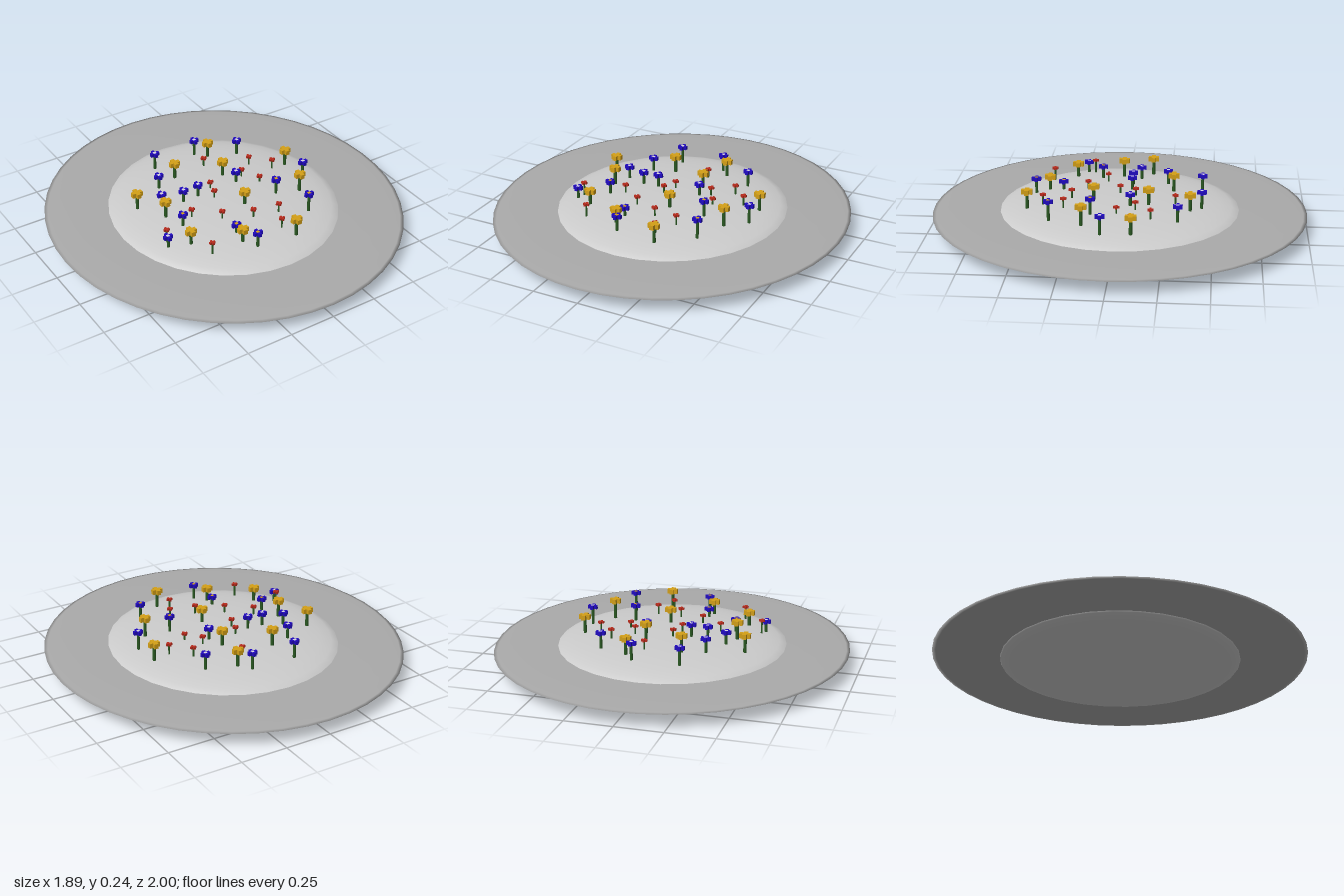
import * as THREE from 'three';

const mat = (name, color) => Object.assign(new THREE.MeshStandardMaterial({ color }), { name });

// Height of the mound's upper surface at a point
const MID = 0.073;
const moundY = (x, z) => MID + 0.073 * Math.sqrt(Math.max(0, 1 - (x / 0.62) ** 2 - (z / 0.65) ** 2));

// Flower spots as [x, z, height of head centre]
const goldSpots = [
  [0.14, -0.38, 0.215], [-0.13, -0.285, 0.225], [-0.435, -0.16, 0.213], [0.1, -0.16, 0.225],
  [-0.355, 0, 0.225], [0.465, -0.09, 0.21], [0.05, 0.135, 0.217], [0.38, 0.17, 0.228],
  [-0.36, 0.26, 0.198], [-0.13, 0.39, 0.2], [0.14, 0.48, 0.212],
];
const blueSpots = [
  [-0.165, -0.44, 0.215], [0.09, -0.44, 0.215], [0.295, -0.32, 0.21], [-0.25, -0.25, 0.207],
  [-0.32, -0.1, 0.2], [-0.21, -0.06, 0.207], [-0.12, -0.06, 0.21], [0.125, -0.065, 0.205],
  [0.475, 0.065, 0.216], [-0.465, 0.21, 0.174],
];
const blueGoldSpots = [
  [-0.32, 0.115, 0.2], [0.25, 0.135, 0.222], [-0.12, 0.315, 0.18], [0.315, 0.345, 0.226],
  [-0.085, 0.46, 0.203],
];
const redSpots = [
  [0.065, -0.3, 0.185], [0.285, -0.18, 0.185], [-0.027, -0.085, 0.183], [0.18, -0.095, 0.185],
  [0.375, -0.085, 0.185], [-0.055, 0, 0.188], [0.235, 0, 0.175], [-0.245, 0.08, 0.185],
  [-0.45, 0.17, 0.19], [-0.12, 0.18, 0.185], [0.025, 0.255, 0.187], [0.165, 0.285, 0.188],
  [-0.31, 0.385, 0.187], [0.105, 0.4, 0.185],
];

export function createModel() {
  const root = new THREE.Group();
  root.name = 'flowerDish';
  const rimGrey = mat('rim grey', 0xaaaaaa);
  const moundGrey = mat('mound grey', 0xcccccc);
  const green = mat('stem green', 0x2a5a22);
  const gold = mat('petal gold', 0xd4a017);
  const blue = mat('petal blue', 0x1f08c0);
  const red = mat('petal red', 0xb82a1c);
  const pale = mat('flower centre pale', 0xd8d4e0);

  const add = (parent, name, geo, material, x, y, z) => {
    const m = new THREE.Mesh(geo, material);
    m.name = name;
    m.position.set(x, y, z);
    parent.add(m);
    return m;
  };

  // Squashed spheres: wide thin rim and the lens-shaped mound
  const ball = new THREE.SphereGeometry(1, 32, 16);
  add(root, 'rim', new THREE.SphereGeometry(1, 48, 16), rimGrey, 0, 0.075, 0).scale.set(0.945, 0.014, 1);
  add(root, 'mound', ball, moundGrey, 0, MID, 0).scale.set(0.62, 0.073, 0.65);

  // One flower kind: stem, four petals around a centre
  function plant(name, spots, petal, centre, span, arm, thick, stemR) {
    const reach = (span - arm) / 2;
    const petalGeo = new THREE.BoxGeometry(arm, thick, reach);
    const centreGeo = new THREE.BoxGeometry(arm, thick, arm);
    const bed = new THREE.Group();
    bed.name = name + 'Flowers';
    root.add(bed);
    for (const [x, z, y] of spots) {
      const flower = new THREE.Group();
      flower.name = name + 'Flower';
      flower.position.set(x, 0, z);
      bed.add(flower);
      const base = moundY(x, z) - 0.008;
      const stemGeo = new THREE.CylinderGeometry(stemR, stemR, y - base, 8);
      add(flower, 'stem', stemGeo, green, 0, (y + base) / 2, 0);
      add(flower, 'centre', centreGeo, centre, 0, y, 0);
      for (let i = 0; i < 4; i++) {
        const a = (i * Math.PI) / 2;
        const d = (arm + reach) / 2;
        add(flower, 'petal', petalGeo, petal, Math.sin(a) * d, y, Math.cos(a) * d).rotation.y = a;
      }
    }
  }
  plant('gold', goldSpots, gold, gold, 0.058, 0.023, 0.026, 0.009);
  plant('blue', blueSpots, blue, pale, 0.05, 0.017, 0.02, 0.008);
  plant('blueGold', blueGoldSpots, blue, gold, 0.05, 0.017, 0.02, 0.008);
  plant('red', redSpots, red, red, 0.032, 0.011, 0.012, 0.005);

  return root;
}
